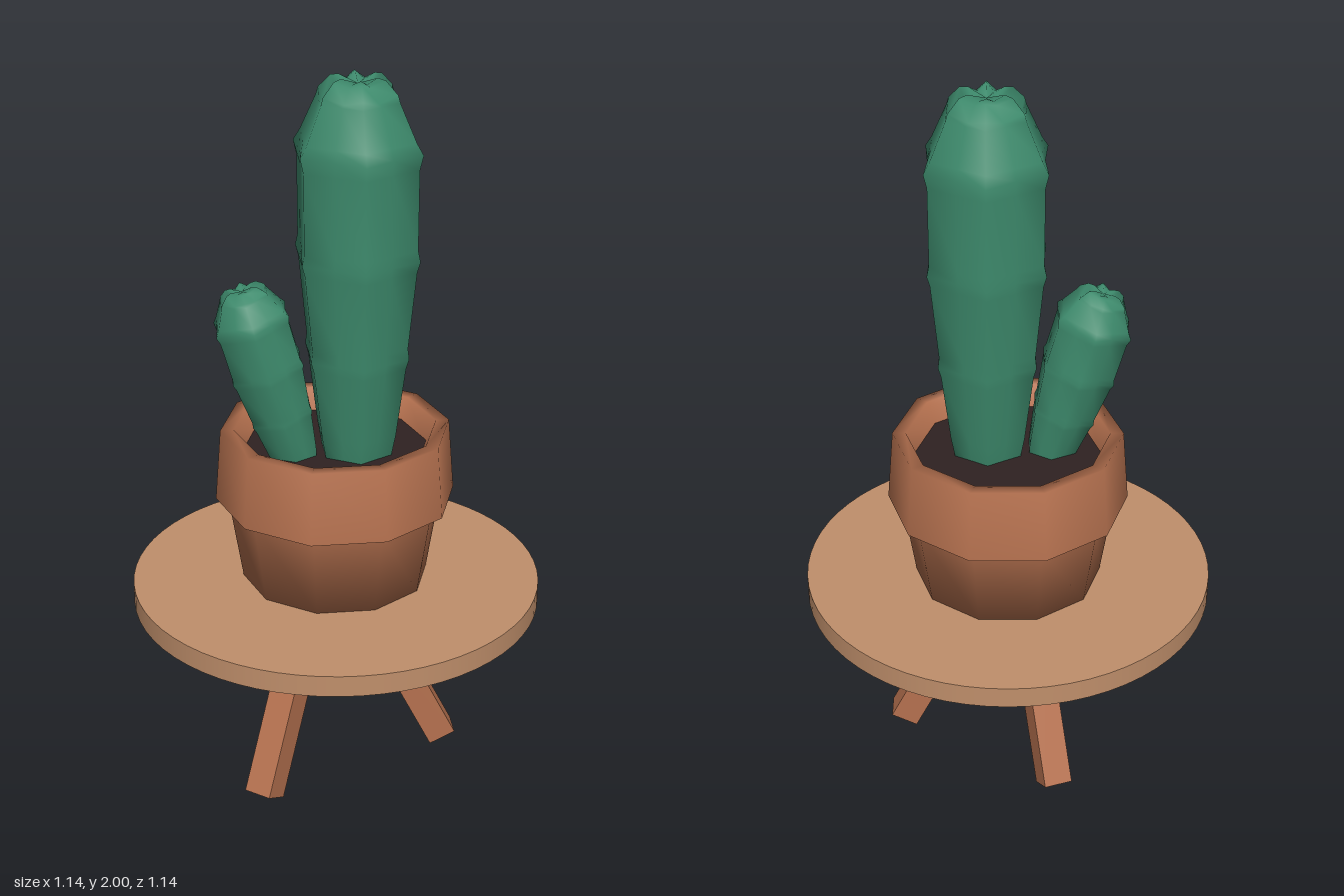
import * as THREE from 'three';

const mat = (name, color) => {
  const m = new THREE.MeshStandardMaterial({ color });
  m.name = name;
  return m;
};

const add = (parent, name, geometry, material) => {
  const mesh = new THREE.Mesh(geometry, material);
  mesh.name = name;
  parent.add(mesh);
  return mesh;
};

// Cactus profile: [height, rib radius, valley radius / rib radius], bumps mark the areoles
const CACTUS = [
  [0, 0.1, 0.86], [0.08, 0.116, 0.86], [0.28, 0.143, 0.86], [0.31, 0.152, 0.85], [0.34, 0.148, 0.86],
  [0.56, 0.171, 0.86], [0.59, 0.18, 0.83], [0.62, 0.173, 0.86], [0.84, 0.174, 0.86], [0.88, 0.184, 0.82],
  [0.91, 0.165, 0.86], [1.01, 0.118, 0.86], [1.03, 0.112, 0.8], [1.065, 0.078, 0.72], [1.07, 0.055, 0.7], [1.055, 0.012, 0.9],
];

// Six-ribbed column, smooth between ribs and valleys
function cactusGeometry(radiusScale, heightScale) {
  const sides = 12, pos = [], index = [];
  for (const [y, r, valley] of CACTUS) {
    for (let i = 0; i < sides; i++) {
      const a = (i / sides) * Math.PI * 2;
      const rib = i % 2 === 0;
      const rr = r * radiusScale * (rib ? 1 : valley);
      const dip = !rib && y > 1.02 ? 0.015 : 0;
      pos.push(rr * Math.sin(a), (y - dip) * heightScale, rr * Math.cos(a));
    }
  }
  for (let j = 0; j < CACTUS.length - 1; j++) {
    for (let i = 0; i < sides; i++) {
      const a = j * sides + i, b = j * sides + (i + 1) % sides;
      index.push(a, b, a + sides, b, b + sides, a + sides);
    }
  }
  // Crown cap
  const last = (CACTUS.length - 1) * sides, tip = pos.length / 3;
  pos.push(0, 1.05 * heightScale, 0);
  for (let i = 0; i < sides; i++) index.push(last + i, last + (i + 1) % sides, tip);
  const g = new THREE.BufferGeometry();
  g.setAttribute('position', new THREE.Float32BufferAttribute(pos, 3));
  g.setIndex(index);
  g.computeVertexNormals();
  return g;
}

// Ten-sided turned shape with a corner on +x
const turned = (points) => new THREE.LatheGeometry(
  points.map(([r, y]) => new THREE.Vector2(r, y)), 10, Math.PI / 2);

export function createModel() {
  const wood = mat('light wood', 0xc08f6b);
  const terracotta = mat('terracotta', 0xb5714f);
  const green = mat('cactus green', 0x3d8a6c);
  const earth = mat('dark soil', 0x2e2222);
  const model = new THREE.Group();
  model.name = 'pottedCactusOnStool';

  // Stool top
  add(model, 'stoolTop', new THREE.CylinderGeometry(0.57, 0.57, 0.06, 64), wood).position.y = 0.53;

  // Three splayed square legs: top x, z and foot x, z
  const legs = [[0.065, 0.01, 0.307, 0.01], [-0.085, 0.09, -0.235, 0.277], [-0.05, -0.085, -0.132, -0.307]];
  for (const [tx, tz, fx, fz] of legs) {
    const top = new THREE.Vector3(tx, 0.505, tz), foot = new THREE.Vector3(fx, 0.02, fz);
    const leg = add(model, 'stoolLeg', new THREE.BoxGeometry(0.08, 0.08, top.distanceTo(foot)), terracotta);
    leg.position.copy(top).add(foot).multiplyScalar(0.5);
    leg.lookAt(foot);
  }

  // Pot with overhanging rim, and the soil inside
  const pot = new THREE.Group();
  pot.name = 'pot';
  pot.position.z = -0.017;
  model.add(pot);
  add(pot, 'potBody', turned([[0, 0.561], [0.26, 0.561], [0.3, 0.81]]), terracotta);
  add(pot, 'potRimUnderside', turned([[0.29, 0.805], [0.333, 0.805]]), terracotta);
  add(pot, 'potRim', turned([[0.333, 0.805], [0.317, 1.01], [0.28, 1.01], [0.25, 0.94]]), terracotta);
  add(pot, 'soil', turned([[0.26, 0.95], [0, 0.95]]), earth);

  // Main column and the leaning side shoot
  add(model, 'mainCactus', cactusGeometry(1, 1), green).position.set(0.055, 0.93, 0.013);
  const shoot = add(model, 'cactusShoot', cactusGeometry(0.63, 0.5), green);
  shoot.position.set(-0.11, 0.92, 0.012);
  shoot.rotation.z = 0.275;

  return model;
}
